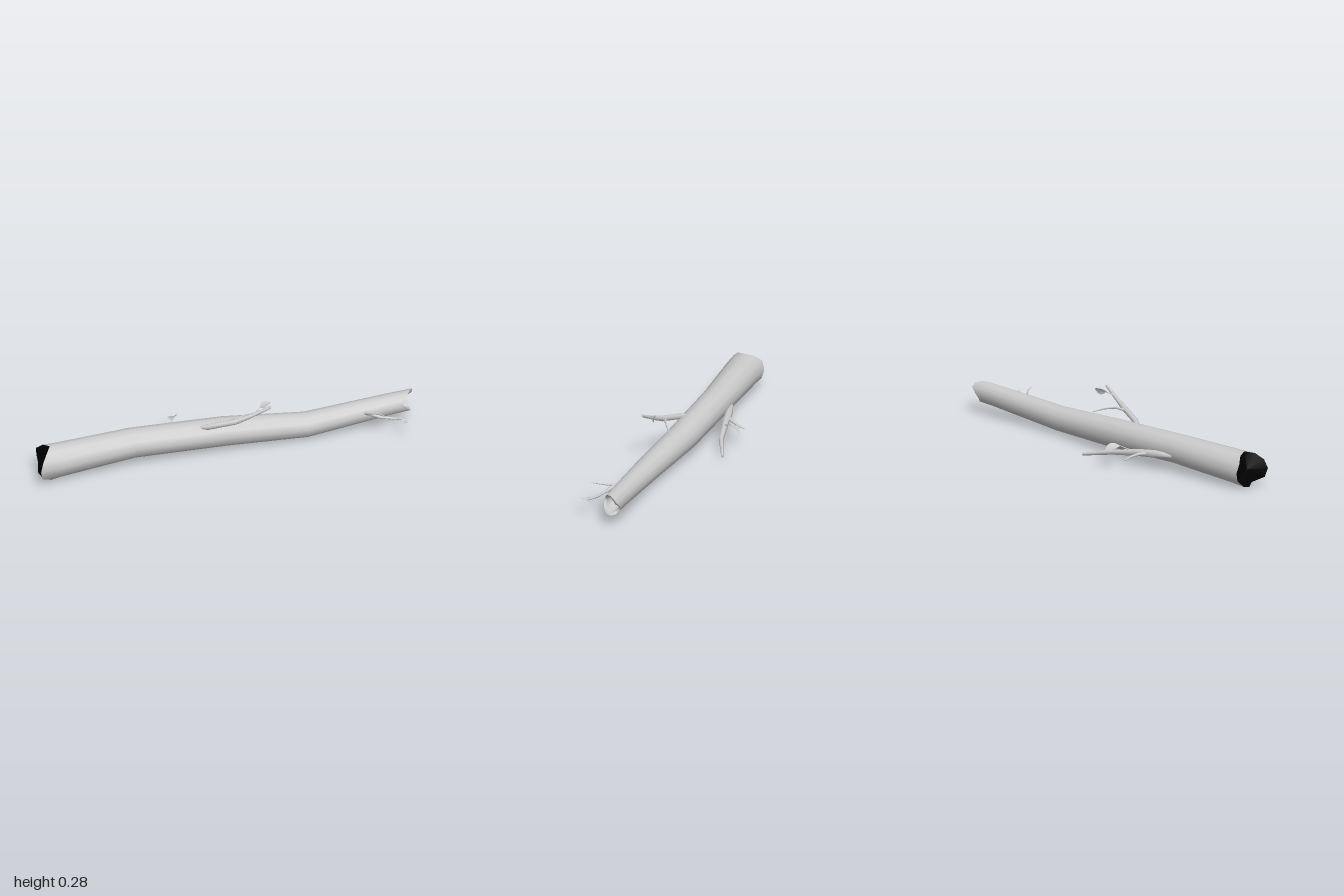
import * as THREE from 'three';

const V = (x, y, z) => new THREE.Vector3(x, y, z);
const SIDES = 12;

// Skins a list of equally long point rows; closed rows wrap round
function loft(rows, closed = true) {
  const n = rows[0].length;
  const pos = rows.flat().flatMap((p) => [p.x, p.y, p.z]);
  const idx = [];
  for (let i = 0; i < rows.length - 1; i++) {
    for (let j = 0; j < (closed ? n : n - 1); j++) {
      const k = (j + 1) % n;
      const a = i * n + j, b = i * n + k, c = a + n, d = b + n;
      idx.push(a, b, d, a, d, c);
    }
  }
  const g = new THREE.BufferGeometry();
  g.setAttribute('position', new THREE.Float32BufferAttribute(pos, 3));
  g.setIndex(idx);
  g.computeVertexNormals();
  return g;
}

function add(parent, name, geometry, color = 0xcccccc, side = THREE.FrontSide) {
  const mesh = new THREE.Mesh(geometry, new THREE.MeshStandardMaterial({ color, side }));
  mesh.name = name;
  parent.add(mesh);
}

// Ring across the trunk, starting at the top and turning to the front; dx makes the broken edge
function trunkRing(x, y, z, ry, rz, dx = []) {
  return Array.from({ length: SIDES }, (_, j) => {
    const a = (j / SIDES) * Math.PI * 2;
    return V(x + (dx[j] || 0), y + Math.cos(a) * ry, z + Math.sin(a) * rz);
  });
}

// Tapered limb through points [x, y, z, radius] with a flat tip
function limb(points, sides = 7) {
  const p = points.map((q) => V(q[0], q[1], q[2]));
  const rows = p.map((c, i) => {
    const t = p[Math.min(i + 1, p.length - 1)].clone().sub(p[Math.max(i - 1, 0)]).normalize();
    const u = V(0, 1, 0).addScaledVector(t, -t.y).normalize();
    const v = t.clone().cross(u);
    return Array.from({ length: sides }, (_, j) => {
      const a = (j / sides) * Math.PI * 2, r = points[i][3];
      return c.clone().addScaledVector(u, Math.cos(a) * r).addScaledVector(v, Math.sin(a) * r);
    });
  });
  const tip = rows[rows.length - 1];
  rows.push(tip.map((q) => q.clone()), tip.map(() => p[p.length - 1].clone()));
  return loft(rows);
}

// Pointed leaf from base to tip, folded slightly along its midrib
function leaf(base, tip, across, width) {
  const axis = tip.clone().sub(base);
  const side = across.clone().addScaledVector(axis, -across.dot(axis) / axis.lengthSq()).normalize();
  const normal = side.clone().cross(axis).normalize();
  const outline = [[0, 0.05], [0.2, 0.7], [0.45, 1], [0.7, 0.8], [0.88, 0.4], [1, 0]];
  return loft(outline.map(([t, w]) => [-1, 0, 1].map((s) => base.clone()
    .addScaledVector(axis, t)
    .addScaledVector(side, s * w * width / 2)
    .addScaledVector(normal, (Math.abs(s) * w * 0.15 + Math.sin(t * Math.PI) * 0.2) * width))), false);
}

export function createModel() {
  const log = new THREE.Group();
  log.name = 'fallenLog';

  // Trunk with broken ends
  const leftEnd = trunkRing(-0.96, 0.093, 0.038, 0.09, 0.092,
    [0.035, 0.005, -0.025, -0.04, -0.03, 0.03, 0, -0.012, 0, -0.005, -0.012, 0.015]);
  const jag = [0.015, -0.005, -0.03, -0.035, -0.01, 0.01, 0.015, 0.005, -0.01, 0.01, 0.04, 0.035];
  const rightEnd = trunkRing(0.96, 0.109, 0.029, 0.054, 0.051, jag);
  add(log, 'trunk', loft([
    leftEnd,
    trunkRing(-0.89, 0.096, 0.036, 0.086, 0.09),
    trunkRing(-0.48, 0.11, 0.011, 0.075, 0.08),
    trunkRing(0, 0.095, 0.018, 0.074, 0.077),
    trunkRing(0.42, 0.076, 0.05, 0.064, 0.065),
    trunkRing(0.87, 0.105, 0.033, 0.055, 0.053),
    rightEnd,
  ]));

  // Dark broken face at the thick end
  const middle = V(-0.945, 0.093, 0.038);
  add(log, 'darkEnd', loft([
    leftEnd.map(() => middle.clone()),
    leftEnd.map((p) => p.clone()),
  ]), 0x000000);

  // Rim and hollow at the thin end
  const innerRim = trunkRing(0.955, 0.109, 0.029, 0.042, 0.039, jag);
  add(log, 'thinEndRim', loft([rightEnd, innerRim]));
  add(log, 'thinEndHollow', loft([
    innerRim,
    trunkRing(0.89, 0.108, 0.031, 0.036, 0.034),
    trunkRing(0.86, 0.107, 0.032, 0.02, 0.019),
    trunkRing(0.855, 0.107, 0.032, 0, 0),
  ]));

  // Limbs as [x, y, z, radius]; the first in each set is the branch, the rest are twigs and stems
  const branches = {
    upperBranch: [
      [[-0.16, 0.15, 0.035, 0.008], [-0.1, 0.165, 0.07, 0.015], [0.03, 0.197, 0.115, 0.015],
        [0.1, 0.225, 0.133, 0.011], [0.2, 0.272, 0.155, 0.007]],
      [[0, 0.192, 0.105, 0.008], [0.06, 0.2, 0.085, 0.006], [0.11, 0.19, 0.055, 0.004], [0.16, 0.17, 0.02, 0.002]],
      [[0.12, 0.238, 0.138, 0.003], [0.16, 0.258, 0.112, 0.002]],
    ],
    backBranch: [
      [[-0.5, 0.088, -0.055, 0.01], [-0.4, 0.085, -0.08, 0.02], [-0.3, 0.076, -0.1, 0.018],
        [-0.15, 0.054, -0.135, 0.013], [0, 0.025, -0.2, 0.007]],
      [[-0.37, 0.083, -0.085, 0.011], [-0.33, 0.078, -0.12, 0.008], [-0.31, 0.068, -0.16, 0.006], [-0.307, 0.055, -0.2, 0.003]],
      [[-0.26, 0.08, -0.11, 0.003], [-0.22, 0.104, -0.15, 0.002]],
    ],
    frontBranch: [
      [[0.7, 0.11, 0.075, 0.006], [0.74, 0.108, 0.105, 0.01], [0.79, 0.094, 0.13, 0.008],
        [0.85, 0.089, 0.152, 0.006], [0.91, 0.092, 0.178, 0.003]],
      [[0.72, 0.112, 0.095, 0.007], [0.755, 0.122, 0.13, 0.005], [0.775, 0.13, 0.16, 0.004], [0.79, 0.136, 0.2, 0.002]],
      [[0.83, 0.089, 0.145, 0.003], [0.87, 0.062, 0.182, 0.001]],
      [[0.86, 0.09, 0.158, 0.002], [0.887, 0.096, 0.182, 0.0015]],
    ],
  };
  for (const [name, limbs] of Object.entries(branches)) {
    const group = new THREE.Group();
    group.name = name;
    limbs.forEach((points, i) => add(group, i ? 'twig' : 'branch', limb(points)));
    log.add(group);
  }

  // Leaves
  [
    [V(0.155, 0.258, 0.113), V(0.222, 0.264, 0.094), V(0, 1, -0.35), 0.036],
    [V(-0.22, 0.104, -0.15), V(-0.18, 0.076, -0.222), V(1, 0.2, 0), 0.054],
    [V(0.885, 0.096, 0.18), V(0.9, 0.097, 0.222), V(1, 0.1, 0), 0.03],
  ].forEach((args) => add(log, 'leaf', leaf(...args), 0xcccccc, THREE.DoubleSide));

  return log;
}
